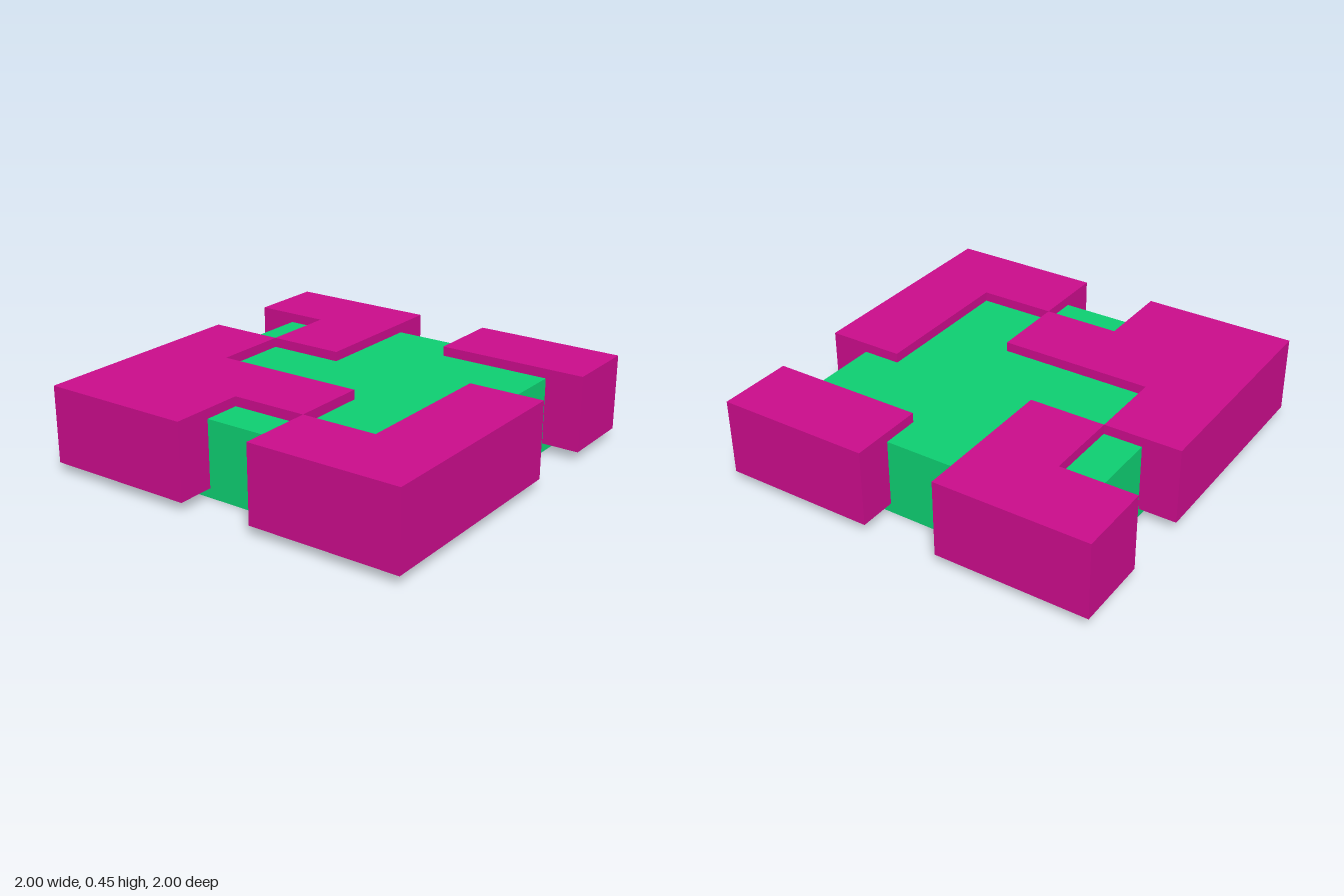
import * as THREE from 'three';

const green = new THREE.MeshStandardMaterial({ color: 0x0dcc70 });
const pink = new THREE.MeshStandardMaterial({ color: 0xc80c8a });

// Upright slab from a plan outline of [x, z] corners
function slab(name, outline, bottom, height, material) {
  const shape = new THREE.Shape(outline.map(([x, z]) => new THREE.Vector2(x, -z)));
  const geometry = new THREE.ExtrudeGeometry(shape, { depth: height, bevelEnabled: false });
  geometry.rotateX(-Math.PI / 2);
  geometry.translate(0, bottom, 0);
  const mesh = new THREE.Mesh(geometry, material);
  mesh.name = name;
  return mesh;
}

export function createModel() {
  const model = new THREE.Group();
  model.name = 'interlockingBlock';

  // Square core
  const core = new THREE.Mesh(new THREE.BoxGeometry(1.6, 0.4, 1.6), green);
  core.position.y = 0.2;
  core.name = 'core';
  model.add(core);

  // Corner pieces that wrap the core and reach over its top
  const corners = {
    backRightCorner: [[-1, -1], [-0.2, -1], [-0.2, -0.2], [-0.6, -0.2], [-0.6, -0.6], [-1, -0.6]],
    backLeftCorner: [[0.2, -1], [1, -1], [1, -0.6], [0.2, -0.6]],
    frontRightCorner: [[-1, -0.2], [-0.6, -0.2], [-0.6, 0.2], [0.2, 0.2], [0.2, 0.6],
      [-0.2, 0.6], [-0.2, 1], [-1, 1]],
    frontLeftCorner: [[0.6, -0.2], [1, -0.2], [1, 1], [0.2, 1], [0.2, 0.6], [0.6, 0.6]],
  };
  for (const [name, outline] of Object.entries(corners)) {
    model.add(slab(name, outline, 0.05, 0.4, pink));
  }
  return model;
}
